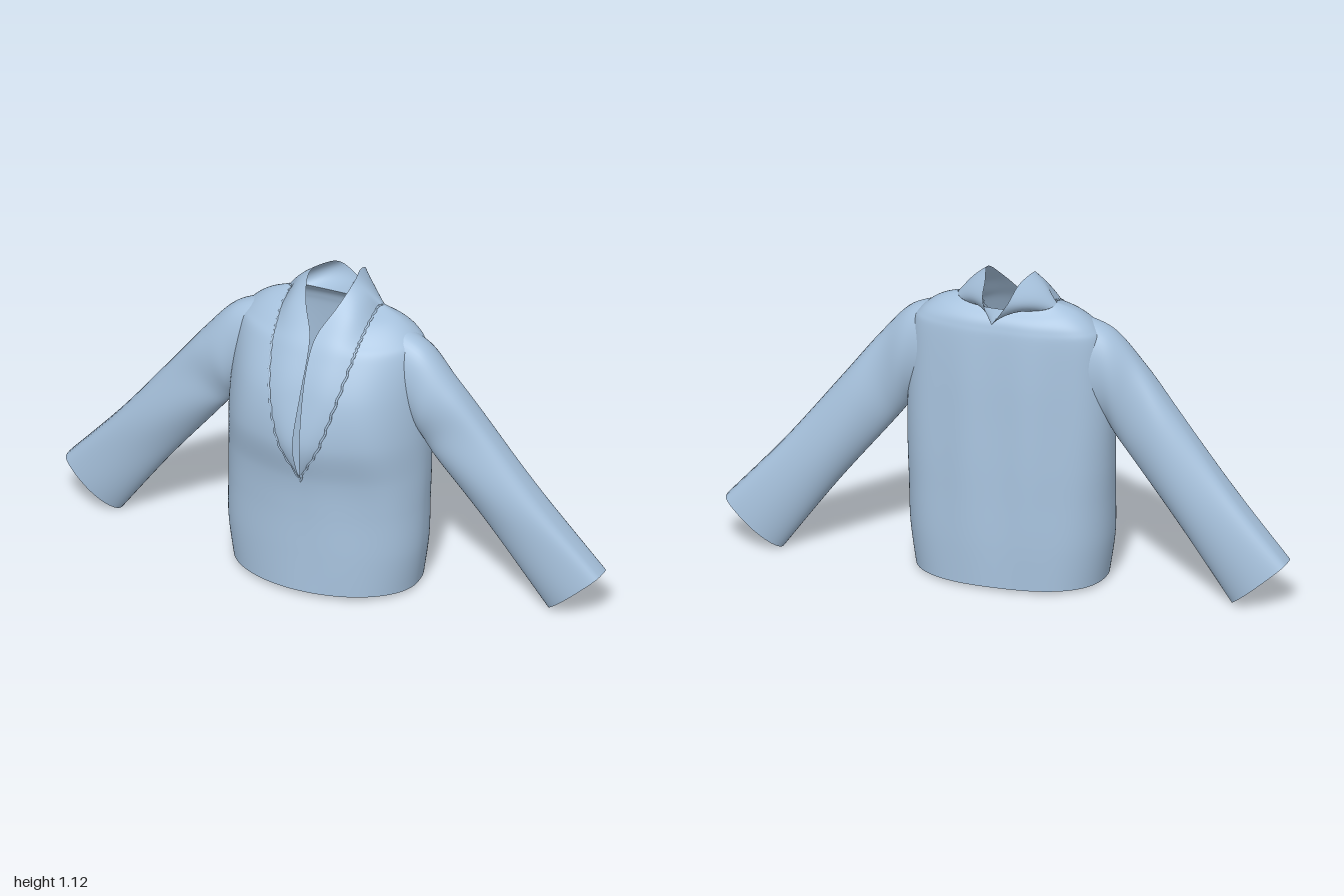
import * as THREE from 'three';
import { mergeVertices } from 'three/addons/utils/BufferGeometryUtils.js';

const cloth = new THREE.MeshStandardMaterial({ color: 0xa6c1dc, side: THREE.DoubleSide });

// Smooth interpolation through rows of numbers; t counts rows
function sample(rows, t) {
  const n = rows.length - 1;
  const i = Math.min(Math.floor(t), n - 1), f = t - i;
  const row = (k) => rows[Math.max(0, Math.min(n, k))];
  const [a, b, c, d] = [row(i - 1), row(i), row(i + 1), row(i + 2)];
  return b.map((_, k) => b[k] + 0.5 * f * (c[k] - a[k]
    + f * (2 * a[k] - 5 * b[k] + 4 * c[k] - d[k] + f * (3 * (b[k] - c[k]) + d[k] - a[k]))));
}

// Sheet of nu x nv quads from fn(u, v) -> [x, y, z]
function sheet(name, nu, nv, fn, flip = false) {
  const pos = [], index = [];
  for (let j = 0; j <= nv; j++)
    for (let i = 0; i <= nu; i++) pos.push(...fn(i / nu, j / nv));
  for (let j = 0; j < nv; j++)
    for (let i = 0; i < nu; i++) {
      const a = j * (nu + 1) + i, b = a + 1, c = a + nu + 1, d = c + 1;
      index.push(...(flip ? [a, c, b, b, c, d] : [a, b, c, b, d, c]));
    }
  let geo = new THREE.BufferGeometry();
  geo.setAttribute('position', new THREE.Float32BufferAttribute(pos, 3));
  geo.setIndex(index);
  geo = mergeVertices(geo, 1e-5);
  geo.computeVertexNormals();
  const mesh = new THREE.Mesh(geo, cloth);
  mesh.name = name;
  return mesh;
}

// Body rings: height, half width, side z, front z, back z, half width of the V opening
const BODY = [
  [0.01, 0.335, 0.0, 0.225, -0.227, 0],
  [0.16, 0.356, 0.0, 0.22, -0.225, 0],
  [0.32, 0.36, -0.01, 0.217, -0.218, 0],
  [0.45, 0.363, -0.02, 0.224, -0.212, 0],
  [0.6, 0.362, -0.03, 0.252, -0.203, 0.075],
  [0.76, 0.352, -0.04, 0.226, -0.193, 0.122],
  [0.9, 0.338, -0.05, 0.152, -0.18, 0.15],
  [0.95, 0.312, -0.058, 0.108, -0.17, 0.156],
  [1.0, 0.25, -0.065, 0.045, -0.152, 0.162],
  [1.03, 0.175, -0.075, -0.045, -0.13, 0.162],
];
const V_ROW = 3, TOP_ROW = BODY.length - 1;

// Point on the body; s runs from the front opening (0) to the middle of the back (1)
function bodyPoint(row, s) {
  const [y, w, zc, zf, zb, seam] = sample(BODY, row);
  const start = row <= V_ROW ? 0 : Math.asin(Math.min(1, Math.max(0, seam) / w));
  const phi = start + (Math.PI - start) * s;
  const sn = Math.max(0, Math.sin(phi)), cs = Math.cos(phi);
  if (cs >= 0) {
    // soft drag folds running from the bust towards the sides
    const fold = 0.012 * Math.sin(phi * 6 + y * 5) * sn * cs * Math.sin(Math.PI * Math.min(1, y));
    return [w * sn, y + 0.008 * cs * (1 - Math.min(1, y * 4)), zc + (zf - zc) * cs + fold];
  }
  const x = w * Math.pow(sn, 0.8);
  const pleat = 0.005 * Math.cos(x * 30) * -cs * Math.sin(Math.PI * Math.min(1, y));
  const dip = 0.025 * -cs * THREE.MathUtils.smoothstep(y, 0.95, 1.03);
  return [x, y - dip, zc + (zb - zc) * Math.pow(-cs, 0.8) + pleat];
}

// Sleeve rings: top x, y; bottom x, y; front z; back z
const SLEEVE = [
  [0.24, 0.985, 0.3, 0.65, 0.05, -0.14],
  [0.36, 0.935, 0.345, 0.605, 0.06, -0.125],
  [0.47, 0.815, 0.372, 0.56, 0.054, -0.113],
  [0.6, 0.648, 0.43, 0.485, 0.048, -0.12],
  [0.8, 0.395, 0.61, 0.26, 0.028, -0.136],
  [1.0, 0.17, 0.8, 0.0, 0.0, -0.142],
];
// The upper half of the section becomes boxier towards the cuff
function sleevePoint(a, v) {
  const [tx, ty, bx, by, zf, zb] = sample(SLEEVE, v * (SLEEVE.length - 1));
  const c = Math.cos(a), sn = Math.sin(a), k = (1 - c) / 2;
  const power = c > 0 ? 1 - 0.45 * v * c : 1;
  const crease = 0.005 * Math.sin(v * 16 + a * 2) * Math.sin(Math.PI * v);
  return [tx + (bx - tx) * k, ty + (by - ty) * k,
    (zf + zb) / 2 + ((zf - zb) / 2 + crease) * Math.sign(sn) * Math.pow(Math.abs(sn), power)];
}

// Free edge of the shawl collar, from the bottom of the V to the middle of the back
const COLLAR_EDGE = [
  [0, 0.45, 0.225], [0.012, 0.6, 0.26], [0.004, 0.78, 0.214], [0.002, 0.9, 0.16],
  [0.014, 0.975, 0.113], [0.058, 1.055, 0.048], [0.083, 1.117, -0.035],
  [0.06, 1.108, -0.14], [0.043, 1.065, -0.222], [0, 1.0, -0.26],
];
// Seam where the collar meets the body, on the same parameter
function seamPoint(t) {
  const r = V_ROW + t * (COLLAR_EDGE.length - 1);
  return r <= TOP_ROW ? bodyPoint(r, 0) : bodyPoint(TOP_ROW, (r - TOP_ROW) / 3);
}
function collarPoint(t, v) {
  const a = seamPoint(t), b = sample(COLLAR_EDGE, t * (COLLAR_EDGE.length - 1));
  const puff = 0.018 * Math.sin(Math.PI * v) * Math.sin(Math.PI * t);
  return [a[0] + (b[0] - a[0]) * v + puff * 0.4,
    a[1] + (b[1] - a[1]) * v + puff * 0.4,
    a[2] + (b[2] - a[2]) * v + puff * (t < 0.6 ? 0.5 : 0.5 - (t - 0.6) * 3)];
}

export function createModel() {
  const group = new THREE.Group();
  group.name = 'pulloverJacket';

  // Body: one sheet from the V, round the back, to the other side of the V
  group.add(sheet('body', 128, 90, (u, v) => {
    const side = u < 0.5 ? 1 : -1;
    const p = bodyPoint(v * TOP_ROW, 1 - Math.abs(2 * u - 1));
    return [p[0] * side, p[1], p[2]];
  }, true));

  for (const side of [1, -1]) {
    const label = side > 0 ? 'left' : 'right';
    const mirror = (p) => [p[0] * side, p[1], p[2]];

    group.add(sheet(label + 'Sleeve', 48, 60,
      (u, v) => mirror(sleevePoint(u * Math.PI * 2, v)), side < 0));
    group.add(sheet(label + 'Collar', 72, 12,
      (u, v) => mirror(collarPoint(u, v)), side < 0));

    // Slightly ruffled seam along the collar
    const pts = [];
    for (let i = 0; i <= 60; i++) {
      const p = mirror(seamPoint((i / 60) * 0.72));
      p[0] += 0.003 * Math.sin(i * 2.1);
      pts.push(new THREE.Vector3(...p));
    }
    const seam = new THREE.Mesh(
      new THREE.TubeGeometry(new THREE.CatmullRomCurve3(pts), 120, 0.004, 6), cloth);
    seam.name = label + 'CollarSeam';
    group.add(seam);
  }
  return group;
}
